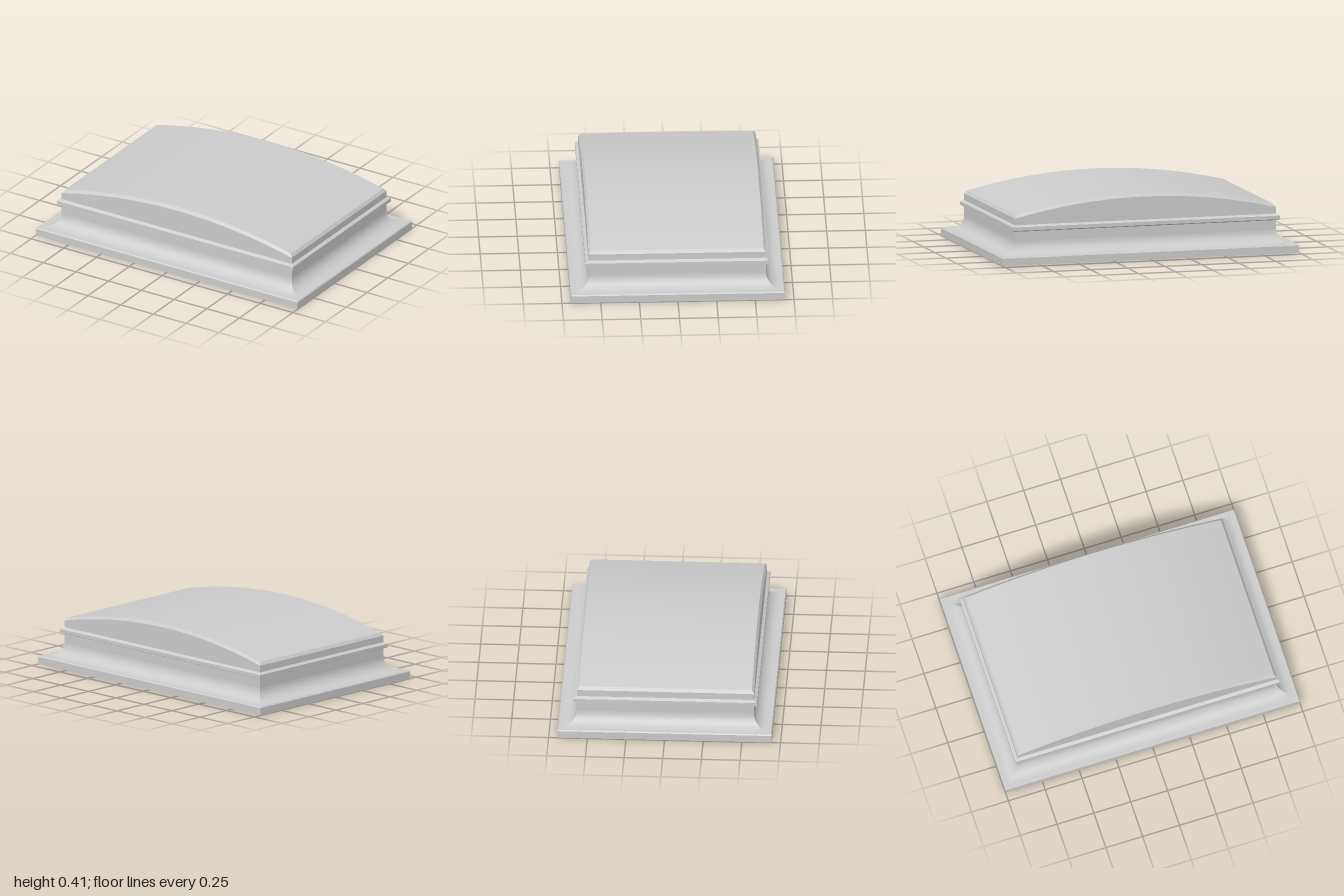
import * as THREE from 'three';
import { toCreasedNormals } from 'three/addons/utils/BufferGeometryUtils.js';

const HX = 1, HZ = 0.693;      // half size of the footprint
const WALL = 0.12, TOP = 0.135; // insets of the wall and of the crown
const N = 16;                   // divisions along each side

// Height of the arched crown at x
const arch = (x) => 0.415 - 0.107 * (x / (HX - TOP)) ** 2;

// Rectangular loop, inset by d, counterclockwise from above; y is a number or a rule of x
function ring(d, y) {
  const a = HX - d, b = HZ - d;
  const corners = [[-a, b], [a, b], [a, -b], [-a, -b]];
  const points = [];
  corners.forEach((p, i) => {
    const q = corners[(i + 1) % 4];
    for (let k = 0; k < N; k++) {
      const x = THREE.MathUtils.lerp(p[0], q[0], k / N);
      const z = THREE.MathUtils.lerp(p[1], q[1], k / N);
      // the crown rule is read at the same fraction on every loop
      points.push([x, typeof y === 'number' ? y : y((x / a) * (HX - TOP)), z]);
    }
  });
  return points;
}

function surface(name, quads) {
  const pos = [];
  for (const [a, b, c, d] of quads) pos.push(...a, ...b, ...c, ...a, ...c, ...d);
  const geo = new THREE.BufferGeometry();
  geo.setAttribute('position', new THREE.Float32BufferAttribute(pos, 3));
  const material = new THREE.MeshStandardMaterial({ color: 0xcccccc, side: THREE.DoubleSide });
  const mesh = new THREE.Mesh(toCreasedNormals(geo, 0.5), material);
  mesh.name = name;
  return mesh;
}

// Skin a stack of [inset, height] loops, bottom to top
function sweep(name, profile) {
  const rings = profile.map(([d, y]) => ring(d, y));
  const quads = [];
  for (let r = 0; r + 1 < rings.length; r++) {
    const lo = rings[r], hi = rings[r + 1];
    lo.forEach((p, i) => {
      const j = (i + 1) % lo.length;
      quads.push([p, lo[j], hi[j], hi[i]]);
    });
  }
  return surface(name, quads);
}

export function createModel() {
  const group = new THREE.Group();
  group.name = 'archedCover';

  // Base lip with a small softened edge
  group.add(sweep('baseLip', [[0, 0], [0, 0.048], [0.006, 0.055], [0.035, 0.055]]));

  // Concave flare from the lip up to the wall
  const cove = [];
  for (let i = 0; i <= 10; i++) {
    const t = (i / 10) * Math.PI / 2;
    cove.push([0.035 + 0.085 * Math.sin(t), 0.14 - 0.085 * Math.cos(t)]);
  }
  group.add(sweep('coveFlare', cove));

  // Wall below the belt, then the raised belt
  group.add(sweep('lowerWall', [[WALL, 0.14], [WALL, 0.202]]));
  group.add(sweep('belt', [[WALL, 0.202], [0.1, 0.21], [0.1, 0.233], [WALL, 0.245]]));

  // Wall above the belt follows the arch and ends in a bevel
  group.add(sweep('upperWall', [[WALL, 0.245], [WALL, (x) => arch(x) - 0.02]]));
  group.add(sweep('crownBevel', [[WALL, (x) => arch(x) - 0.02], [TOP, arch]]));

  // Arched crown
  const roof = [], a = HX - TOP, b = HZ - TOP;
  for (let i = 0; i < N; i++) {
    const x0 = -a + (2 * a * i) / N, x1 = -a + (2 * a * (i + 1)) / N;
    roof.push([[x0, arch(x0), b], [x1, arch(x1), b], [x1, arch(x1), -b], [x0, arch(x0), -b]]);
  }
  group.add(surface('archedCrown', roof));
  return group;
}
